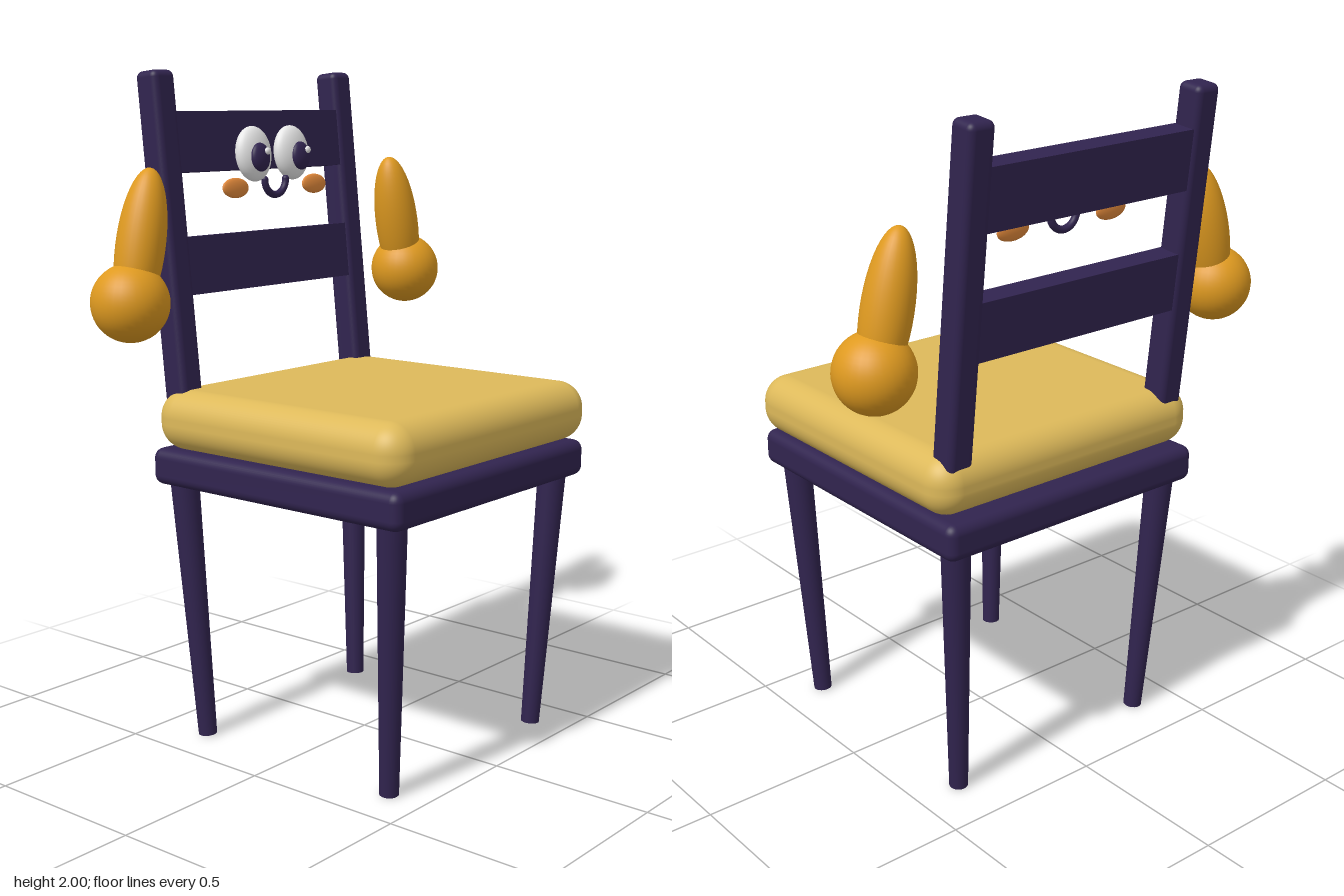
import * as THREE from 'three';
import { RoundedBoxGeometry } from 'three/addons/geometries/RoundedBoxGeometry.js';

const mat = (name, color) => {
  const m = new THREE.MeshStandardMaterial({ color });
  m.name = name;
  return m;
};

export function createModel() {
  const wood = mat('dark purple wood', 0x31244f);
  const fabric = mat('cushion yellow', 0xddb95a);
  const amber = mat('hand amber', 0xdf9a20);
  const white = mat('eye white', 0xeeeeee);
  const blush = mat('cheek orange', 0xe58b3c);

  const model = new THREE.Group();
  model.name = 'chair';
  const add = (name, geometry, material, x, y, z, parent = model) => {
    const mesh = new THREE.Mesh(geometry, material);
    mesh.name = name;
    mesh.position.set(x, y, z);
    parent.add(mesh);
    return mesh;
  };
  const ball = (name, material, [x, y, z], [rx, ry, rz]) => {
    const mesh = add(name, new THREE.SphereGeometry(1, 32, 24), material, x, y, z);
    mesh.scale.set(rx, ry, rz);
    return mesh;
  };

  // Seat
  add('seatFrame', new RoundedBoxGeometry(0.925, 0.11, 0.93, 4, 0.03), wood, 0, 0.845, 0.025);
  add('cushion', new RoundedBoxGeometry(0.96, 0.18, 0.92, 8, 0.08), fabric, 0, 0.99, 0.04);

  // Tapered legs, leaning inward towards the floor
  const legBetween = (name, top, foot) => {
    const dir = top.clone().sub(foot);
    const mid = top.clone().add(foot).multiplyScalar(0.5);
    const leg = add(name, new THREE.CylinderGeometry(0.043, 0.028, dir.length(), 24), wood, mid.x, mid.y, mid.z);
    leg.quaternion.setFromUnitVectors(new THREE.Vector3(0, 1, 0), dir.normalize());
  };
  for (const s of [-1, 1]) {
    const side = s > 0 ? 'left' : 'right';
    legBetween(side + 'FrontLeg', new THREE.Vector3(s * 0.393, 0.82, 0.418), new THREE.Vector3(s * 0.355, 0.001, 0.38));
    legBetween(side + 'BackLeg', new THREE.Vector3(s * 0.393, 0.82, -0.372), new THREE.Vector3(s * 0.355, 0.001, -0.331));
  }

  // Backrest, leaning backwards as one group
  const lean = -0.1;
  const back = new THREE.Group();
  back.name = 'backrest';
  back.position.set(0, 1, -0.357);
  back.rotation.x = lean;
  model.add(back);
  for (const s of [-1, 1]) {
    add(s > 0 ? 'leftPost' : 'rightPost', new RoundedBoxGeometry(0.085, 1.06, 0.085, 4, 0.02), wood, s * 0.395, 0.471, 0, back);
  }
  add('topRail', new THREE.BoxGeometry(0.74, 0.175, 0.07), wood, 0, 0.794, 0, back);
  add('lowerRail', new THREE.BoxGeometry(0.74, 0.17, 0.07), wood, 0, 0.434, 0, back);

  // Face and floating hands
  for (const s of [-1, 1]) {
    const side = s > 0 ? 'left' : 'right';
    ball(side + 'Eye', white, [s * 0.085, 1.753, -0.362], [0.07, 0.083, 0.036]).rotation.x = lean;
    ball(side + 'Pupil', wood, [s * 0.091, 1.744, -0.327], [0.037, 0.043, 0.018]).rotation.x = lean;
    ball(side + 'EyeGlint', white, [s * 0.091 + 0.015, 1.762, -0.312], [0.011, 0.011, 0.008]);
    ball(side + 'Cheek', blush, [s * 0.177, 1.655, -0.35], [0.055, 0.03, 0.011]).rotation.x = lean;
    ball(side + 'Hand', amber, [s * 0.624, 1.355, -0.335], [0.112, 0.112, 0.112]);
    ball(side + 'Thumb', amber, [s * 0.58, 1.512, -0.335], [0.07, 0.22, 0.07]).rotation.z = s * 0.21;
  }

  // Smile: half ring with rounded ends
  const smile = add('smile', new THREE.TorusGeometry(0.047, 0.011, 12, 32, Math.PI), wood, 0, 1.675, -0.352);
  smile.rotation.z = Math.PI;
  for (const s of [-1, 1]) ball('smileEnd', wood, [s * 0.047, 1.675, -0.352], [0.011, 0.011, 0.011]);

  return model;
}
